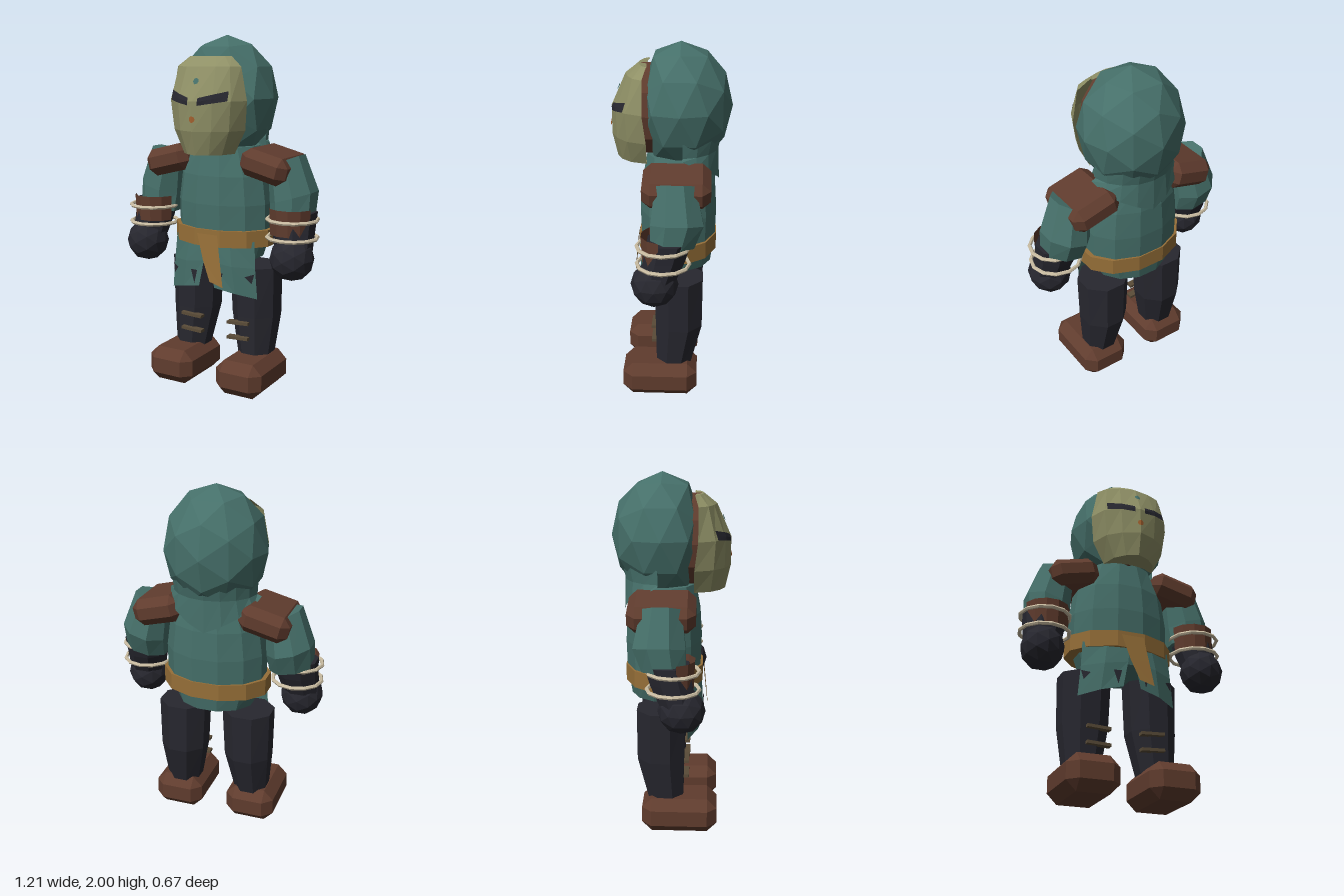
import * as THREE from 'three';
import { ConvexGeometry } from 'three/addons/geometries/ConvexGeometry.js';

const V = (x, y, z) => new THREE.Vector3(x, y, z);

// Faceted normals baked into the geometry
function flat(geo) {
  const g = geo.index ? geo.toNonIndexed() : geo;
  g.computeVertexNormals();
  return g;
}

// Surface through rows of points, all of the same length
function skin(rows) {
  const n = rows[0].length, index = [];
  for (let j = 0; j < rows.length - 1; j++) {
    for (let i = 0; i < n - 1; i++) {
      const a = j * n + i, b = a + 1, c = a + n, d = c + 1;
      index.push(a, b, d, a, d, c);
    }
  }
  const g = new THREE.BufferGeometry().setFromPoints(rows.flat());
  g.setIndex(index);
  return flat(g);
}

// Closed tube of elliptical sections [cx, y, cz, rx, rz, tilt], bottom to top
function loft(sections, sides) {
  const ring = ([cx, y, cz, rx, rz, tilt = 0], k) => Array.from({ length: sides + 1 }, (_, i) => {
    const a = ((i % sides) + 0.5) / sides * Math.PI * 2;
    const dx = Math.sin(a) * rx * k;
    return V(cx + dx, y + dx * tilt, cz + Math.cos(a) * rz * k);
  });
  const last = sections[sections.length - 1];
  return skin([ring(sections[0], 0), ...sections.map((s) => ring(s, 1)), ring(last, 0)]);
}

// Box with all edges and corners cut off
function chamferBox(w, h, d, b) {
  const pts = [], x = w / 2, y = h / 2, z = d / 2;
  for (const i of [-1, 1]) for (const j of [-1, 1]) for (const k of [-1, 1]) {
    pts.push(V(i * x, j * (y - b), k * (z - b)), V(i * (x - b), j * y, k * (z - b)), V(i * (x - b), j * (y - b), k * z));
  }
  return new ConvexGeometry(pts);
}

// Mask rows: height, half width, front z, edge z
const MASK = [[1.37, 0.12, 0.16, 0.13], [1.36, 0.15, 0.3, 0.13], [1.49, 0.215, 0.33, 0.13],
  [1.65, 0.235, 0.33, 0.15], [1.83, 0.2, 0.25, 0.15], [1.885, 0.13, 0.18, 0.13], [1.88, 0.12, 0.135, 0.125]];
const COLS = [[0, 1], [0.45, 0.82], [0.8, 0.52], [1, 0]];

function maskZ(x, y) {
  const j = MASK.findIndex((r, i) => i > 1 && y <= r[0]);
  const a = MASK[j - 1], b = MASK[j], t = (y - a[0]) / (b[0] - a[0]);
  const [, hw, front, edge] = a.map((v, i) => v + (b[i] - v) * t);
  const u = Math.min(Math.abs(x) / hw, 0.999);
  const k = COLS.findIndex((c) => u < c[0]);
  const p = COLS[k - 1], q = COLS[k];
  return edge + (front - edge) * (p[1] + (q[1] - p[1]) * (u - p[0]) / (q[0] - p[0]));
}

// Lays a flat decoration onto the mask
function drape(geo, place) {
  const p = geo.attributes.position;
  for (let i = 0; i < p.count; i++) {
    const [x, y] = place(p.getX(i), p.getY(i));
    p.setXYZ(i, x, y, maskZ(x, y) + 0.006);
  }
  return flat(geo);
}

export function createModel() {
  const model = new THREE.Group();
  const mat = (name, color, side = THREE.FrontSide) => {
    const m = new THREE.MeshStandardMaterial({ color, side });
    m.name = name;
    return m;
  };
  const cloth = mat('teal cloth', 0x46706a, THREE.DoubleSide);
  const leather = mat('brown leather', 0x603c2e, THREE.DoubleSide);
  const bone = mat('olive mask', 0x8f9066, THREE.DoubleSide);
  const dark = mat('dark fabric', 0x27272f, THREE.DoubleSide);
  const sashMat = mat('ochre sash', 0x966f38, THREE.DoubleSide);
  const cream = mat('cream cord', 0xcabda2);
  const wrap = mat('drab wrap', 0x5a4c38);
  const rust = mat('rust mark', 0xa5622f);

  const add = (name, geo, material, x = 0, y = 0, z = 0) => {
    const m = new THREE.Mesh(geo, material);
    m.name = name;
    m.position.set(x, y, z);
    model.add(m);
    return m;
  };

  // Hood: faceted ball, cut flat at the face and at the neck
  const hood = new THREE.IcosahedronGeometry(1, 1);
  hood.scale(0.292, 0.345, 0.283).translate(0, 1.655, -0.05);
  const hp = hood.attributes.position;
  for (let i = 0; i < hp.count; i++) {
    hp.setY(i, Math.max(hp.getY(i), 1.36));
    hp.setZ(i, Math.min(hp.getZ(i), 0.13));
  }
  add('hood', flat(hood), cloth);

  // Cowl hanging from the hood to a point on the back
  const cowl = [[], [], []];
  for (let i = 0; i <= 8; i++) {
    const t = i / 4 - 1, a = t * 1.5;
    const drop = 1.41 - 0.175 * (1 - Math.abs(t));
    [[1.5, 0.245, 0.23], [1.42, 0.24, 0.21], [drop, 0.265, 0.215]].forEach(([y, rx, rz], k) => {
      cowl[k].push(V(Math.sin(a) * rx, y, -0.05 - Math.cos(a) * rz));
    });
  }
  add('cowl', skin(cowl), cloth);

  // Mask with a centre ridge, and its leather backing
  const signed = [...COLS.slice(1).reverse().map(([u, d]) => [-u, d]), ...COLS];
  add('mask', skin(MASK.map(([y, hw, f, e]) => signed.map(([u, d]) => V(u * hw, y, e + (f - e) * d)))), bone);
  const backing = new THREE.CylinderGeometry(1, 1, 0.07, 12).rotateX(Math.PI / 2).scale(0.19, 0.255, 1);
  add('maskBacking', flat(backing), leather, 0, 1.63, 0.13);
  for (const s of [-1, 1]) {
    add('eye', drape(new THREE.PlaneGeometry(1, 1, 8, 2), (u, v) => {
      const x = s * 0.1025 + u * 0.145, t = s * u + 0.5;
      return [x, 1.648 + 0.03 * t + v * (0.04 + 0.012 * t)];
    }), dark);
  }
  add('foreheadMark', drape(new THREE.CircleGeometry(0.017, 8), (x, y) => [x, y + 1.755]), cloth);
  add('mouthMark', drape(new THREE.CircleGeometry(0.018, 8), (x, y) => [x, y + 1.555]), rust);

  // Tunic and belt
  add('tunic', loft([[0, 0.75, -0.04, 0.225, 0.19], [0, 0.93, -0.04, 0.29, 0.215], [0, 1.07, -0.04, 0.292, 0.22],
    [0, 1.23, -0.04, 0.27, 0.21], [0, 1.39, -0.04, 0.2, 0.18]], 12), cloth);
  add('belt', loft([[0, 0.835, -0.037, 0.315, 0.225], [0, 0.93, -0.037, 0.315, 0.225]], 12), sashMat);
  add('sashTail', skin([[V(-0.06, 0.905, 0.187), V(0.07, 0.905, 0.187)], [V(-0.015, 0.76, 0.2), V(0.095, 0.76, 0.2)],
    [V(0.035, 0.64, 0.212), V(0.12, 0.615, 0.212)]]), sashMat);

  for (const s of [-1, 1]) {
    // Front flap with torn patches
    add('tunicFlap', skin([
      [V(0, 0.87, 0.17), V(s * 0.13, 0.87, 0.15), V(s * 0.255, 0.87, 0.09)],
      [V(s * 0.02, 0.75, 0.18), V(s * 0.15, 0.73, 0.165), V(s * 0.265, 0.72, 0.1)],
      [V(s * 0.05, 0.6, 0.185), V(s * 0.17, 0.575, 0.16), V(s * 0.28, 0.545, 0.1)]]), cloth);
    const tear = (a, b, c) => add('tear', flat(new THREE.BufferGeometry().setFromPoints([a, b, c])), dark);
    tear(V(s * 0.06, 0.69, 0.189), V(s * 0.105, 0.69, 0.183), V(s * 0.08, 0.61, 0.188));
    tear(V(s * 0.267, 0.69, 0.112), V(s * 0.22, 0.675, 0.138), V(s * 0.255, 0.635, 0.122));

    // Leg, shin wraps and boot
    add('leg', loft([[s * 0.213, 0.17, -0.02, 0.103, 0.105], [s * 0.2, 0.42, -0.05, 0.142, 0.142],
      [s * 0.195, 0.71, -0.048, 0.152, 0.147]], 8), dark);
    for (const y of [0.385, 0.295]) {
      const band = add('shinWrap', flat(new THREE.BoxGeometry(0.135, 0.017, 0.04)), wrap, s * 0.155, y, 0.088);
      band.rotation.z = s * 0.05;
    }
    add('boot', chamferBox(0.29, 0.2, 0.425, 0.055), leather, s * 0.225, 0.1, 0.057);

    // Shoulder pad and sleeve
    const pad = add('shoulderPad', chamferBox(0.285, 0.155, 0.365, 0.045), leather, s * 0.31, 1.295, -0.038);
    pad.rotation.z = -s * 0.25;
    add('sleeve', loft([[s * 0.435, 1.0, -0.02, 0.125, 0.125, s * 0.2], [s * 0.43, 1.12, -0.045, 0.132, 0.15, s * 0.3],
      [s * 0.385, 1.32, -0.035, 0.1, 0.115, s * 0.4]], 8), cloth);

    // Forearm, bracer, cords and fist
    add('forearm', loft([[s * 0.475, 0.84, 0.05, 0.105, 0.1], [s * 0.46, 0.95, 0.02, 0.118, 0.12],
      [s * 0.455, 1.05, -0.005, 0.125, 0.125]], 8), dark);
    const bracer = new THREE.CylinderGeometry(0.128, 0.122, 0.145, 5, 1, true, -1.35, 2.7);
    add('bracer', flat(bracer), leather, s * 0.447, 1.0, 0.02);
    for (const y of [1.01, 0.91]) {
      const cord = new THREE.TorusGeometry(0.14, 0.011, 6, 12).rotateX(Math.PI / 2);
      add('wristCord', flat(cord), cream, s * 0.456, y, 0.028);
    }
    const fist = new THREE.IcosahedronGeometry(1, 1).scale(0.122, 0.125, 0.128);
    add('fist', flat(fist), dark, s * 0.477, 0.8, 0.073);
  }
  return model;
}
